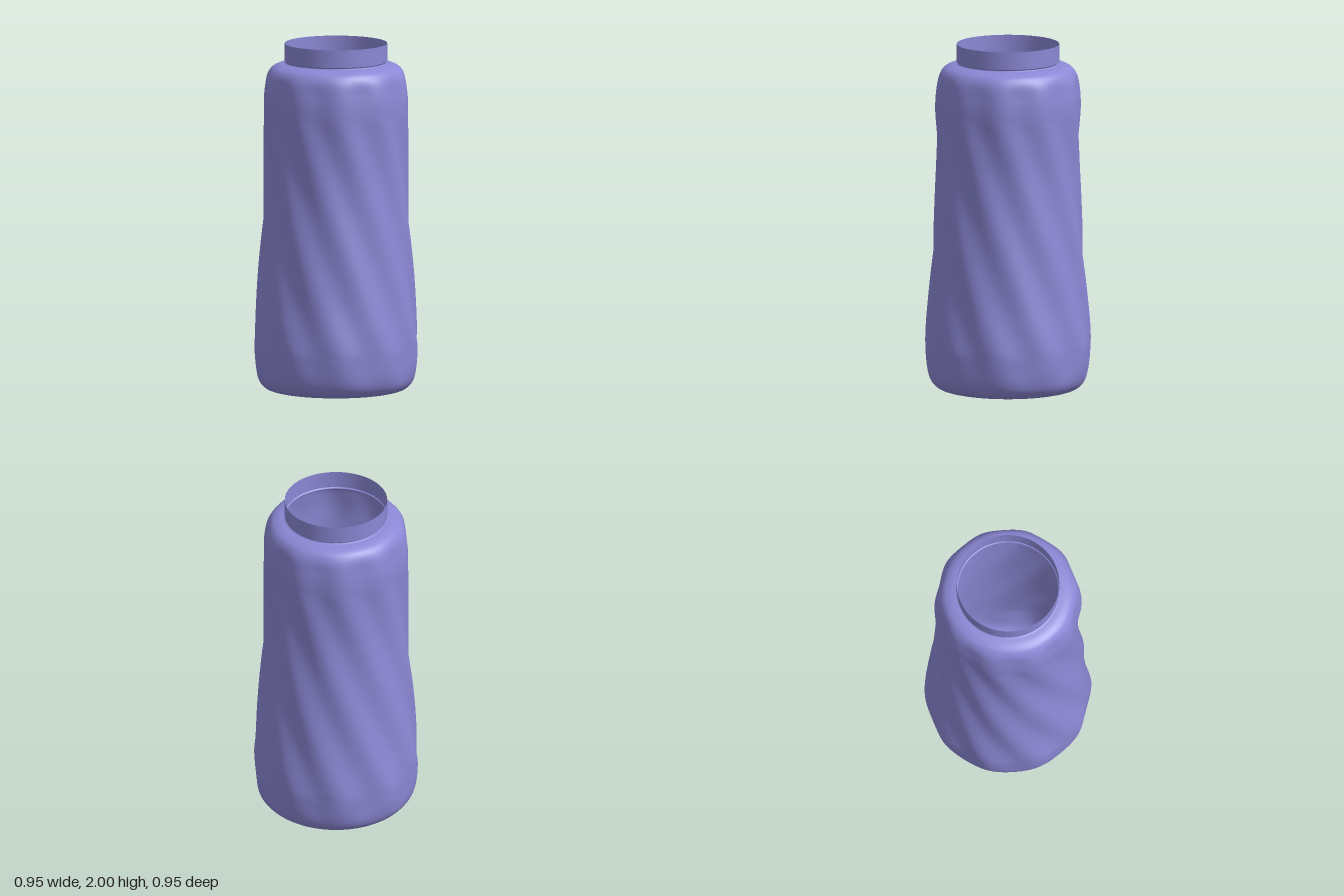
import * as THREE from 'three';
import { mergeVertices } from 'three/addons/utils/BufferGeometryUtils.js';

const LOBES = 10;
const V = (p) => new THREE.Vector2(p[0], p[1]);
const smooth = THREE.MathUtils.smoothstep;

// Lathe with a smooth profile and no seam
function turned(points, segments, divisions, rule) {
  const profile = new THREE.SplineCurve(points.map(V)).getPoints(divisions);
  profile.forEach((p) => { p.x = Math.max(0, p.x); });
  let geo = new THREE.LatheGeometry(profile, segments);
  if (rule) {
    const pos = geo.attributes.position;
    const v = new THREE.Vector3();
    for (let i = 0; i < pos.count; i++) {
      v.fromBufferAttribute(pos, i);
      rule(v);
      pos.setXYZ(i, v.x, v.y, v.z);
    }
  }
  geo.deleteAttribute('normal');
  geo.deleteAttribute('uv');
  geo = mergeVertices(geo, 1e-5);
  geo.computeVertexNormals();
  return geo;
}

// Soft ridges that twist by two lobes up the body and fade at foot and shoulder
function twistRidges(v) {
  const t = THREE.MathUtils.clamp((v.y - 0.25) / 1.35, 0, 1);
  const ridge = THREE.MathUtils.degToRad(8 + 72 * t);
  const fade = smooth(v.y, 0.01, 0.2) * (1 - smooth(v.y, 1.74, 1.88));
  const wave = Math.cos(LOBES * (Math.atan2(v.z, v.x) - ridge));
  const k = 1 - 0.018 * fade * (1 - wave);
  v.x *= k;
  v.z *= k;
}

export function createModel() {
  const group = new THREE.Group();
  const material = new THREE.MeshStandardMaterial({ color: 0x8c88d6, side: THREE.DoubleSide });
  const add = (name, geo) => {
    const mesh = new THREE.Mesh(geo, material);
    mesh.name = name;
    group.add(mesh);
  };

  // Dished underside
  add('base', turned([[0, 0.045], [0.15, 0.042], [0.27, 0.03], [0.33, 0.01], [0.36, 0]], 120, 24));

  // Twisted body from foot to shoulder
  add('body', turned([
    [0.36, 0], [0.405, 0.015], [0.445, 0.06], [0.468, 0.14], [0.477, 0.25], [0.472, 0.36],
    [0.458, 0.52], [0.445, 0.7], [0.432, 0.9], [0.42, 1.1], [0.414, 1.3], [0.417, 1.5],
    [0.421, 1.65], [0.415, 1.74], [0.4, 1.81], [0.372, 1.855], [0.335, 1.876], [0.296, 1.884],
  ], 160, 150, twistRidges));

  // Thin open neck with a slight groove at its foot
  add('neckGroove', turned([[0.296, 1.884], [0.288, 1.888], [0.287, 1.893], [0.293, 1.898]], 96, 9));
  const neck = new THREE.CylinderGeometry(0.293, 0.293, 0.102, 96, 1, true);
  neck.translate(0, 1.949, 0);
  add('neck', neck);

  return group;
}
